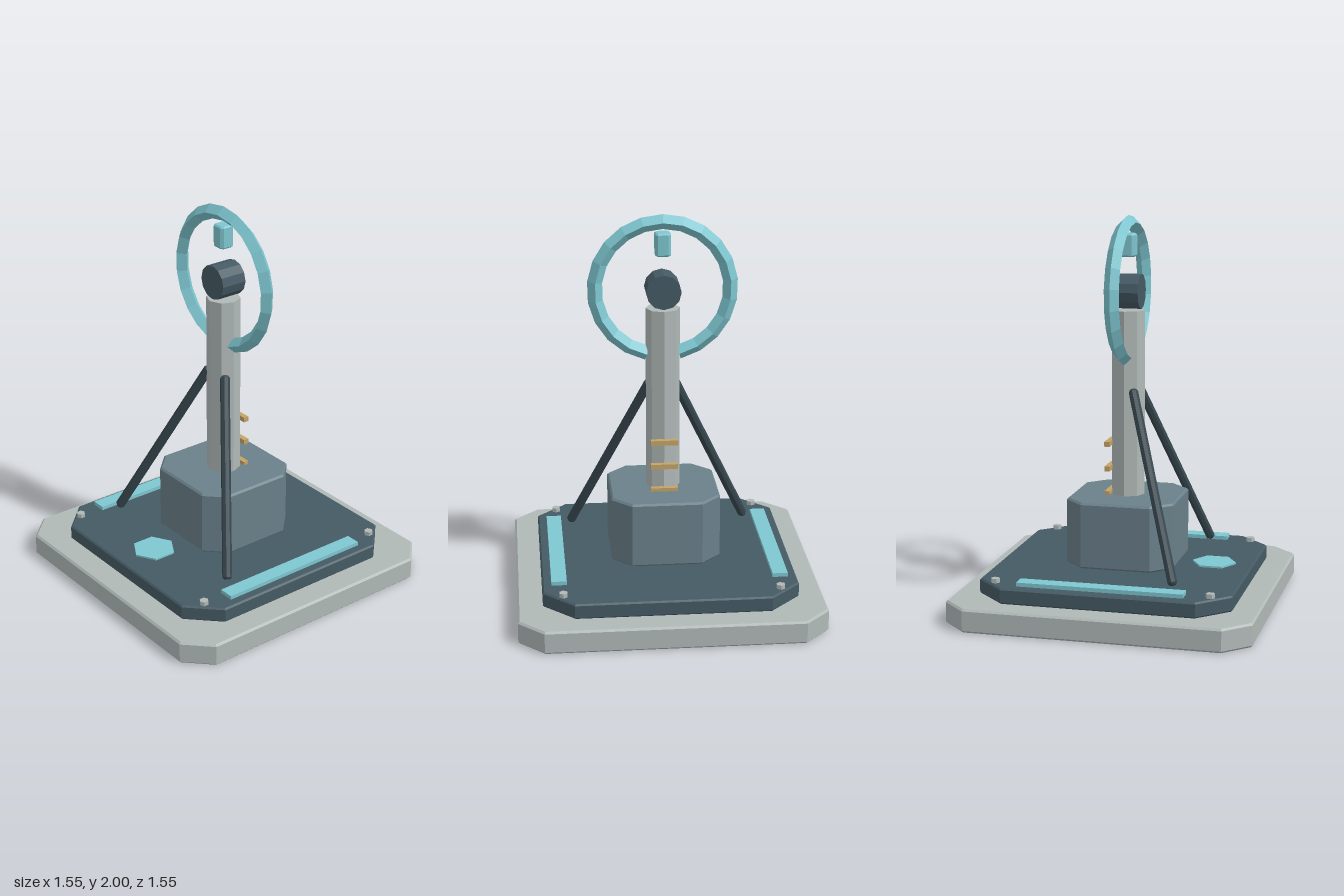
import * as THREE from 'three';

const material = (name, color) =>
  new THREE.MeshStandardMaterial({ name, color, flatShading: true, side: THREE.DoubleSide });

// Square block with cut corners and a small bevel, standing from y0 to y1
function chamferedBlock(half, cut, y0, y1, bevel) {
  const h = half - bevel;
  const c = half - cut - bevel * 0.41;
  const outline = [[h, -c], [h, c], [c, h], [-c, h], [-h, c], [-h, -c], [-c, -h], [c, -h]];
  const geometry = new THREE.ExtrudeGeometry(
    new THREE.Shape(outline.map(([x, y]) => new THREE.Vector2(x, y))),
    { depth: y1 - y0 - 2 * bevel, bevelEnabled: true, bevelSize: bevel, bevelThickness: bevel, bevelSegments: 1 }
  );
  return geometry.rotateX(-Math.PI / 2).translate(0, y0 + bevel, 0);
}

// Round bar with chamfered ends between two points
function bar(from, to, radius, sides) {
  const direction = to.clone().sub(from);
  const l = direction.length() / 2;
  const profile = [[0, -l], [radius * 0.65, -l], [radius, -l + 0.012], [radius, l - 0.012], [radius * 0.65, l], [0, l]];
  const geometry = new THREE.LatheGeometry(profile.map(([x, y]) => new THREE.Vector2(x, y)), sides);
  const turn = new THREE.Quaternion().setFromUnitVectors(new THREE.Vector3(0, 1, 0), direction.normalize());
  const middle = from.clone().add(to).multiplyScalar(0.5);
  return geometry.applyQuaternion(turn).translate(middle.x, middle.y, middle.z);
}

export function createModel() {
  const stone = material('pale stone', 0xb0b9b7);
  const slate = material('dark slate', 0x455a64);
  const iron = material('dark iron', 0x37474f);
  const steel = material('blue steel', 0x6a808a);
  const glow = material('pale teal', 0x7ec6d0);
  const brass = material('brass', 0xc4a468);

  const model = new THREE.Group();
  model.name = 'beaconTower';
  const add = (name, geometry, mat, x = 0, y = 0, z = 0) => {
    const mesh = new THREE.Mesh(geometry, mat);
    mesh.name = name;
    mesh.position.set(x, y, z);
    model.add(mesh);
    return mesh;
  };

  // Stepped base and pedestal
  add('basePlate', chamferedBlock(0.775, 0.128, 0, 0.12, 0.01), stone);
  add('deck', chamferedBlock(0.647, 0.155, 0.12, 0.2, 0.008), slate);
  add('pedestal', chamferedBlock(0.28, 0.1, 0.222, 0.565, 0.01), steel);

  // Column and the pivot on top of it
  add('column', new THREE.CylinderGeometry(0.087, 0.087, 0.96, 8), stone, 0, 1.04, 0);
  add('pivotHead', new THREE.CylinderGeometry(0.089, 0.089, 0.14, 12).rotateX(Math.PI / 2), slate, 0, 1.615, 0);

  // Open ring with a diamond section and its gap at the bottom
  const arc = 5.8;
  const ring = new THREE.TorusGeometry(0.344, 0.038, 4, 20, arc);
  add('ring', ring.rotateZ(Math.PI / 2 - arc / 2), glow, 0, 1.618, 0);

  // Floating crystal inside the ring
  add('crystal', chamferedBlock(0.04, 0.014, 1.79, 1.908, 0.008), glow);

  // Deck lights
  add('frontPad', new THREE.CylinderGeometry(0.113, 0.113, 0.009, 6), glow, 0, 0.225, 0.457);

  for (const side of [-1, 1]) {
    const label = side > 0 ? 'left' : 'right';
    add(label + 'LightStrip', new THREE.BoxGeometry(0.078, 0.02, 0.845), glow, side * 0.562, 0.213, 0);

    // Slanting brace from the column to the deck
    const top = new THREE.Vector3(side * 0.063, 1.12, 0.04);
    const foot = new THREE.Vector3(side * 0.473, 0.228, 0.345);
    add(label + 'Brace', bar(foot, top, 0.025, 8), iron);

    // Deck bolts
    for (const end of [-1, 1]) {
      add(label + (end > 0 ? 'Front' : 'Back') + 'Bolt',
        new THREE.CylinderGeometry(0.023, 0.023, 0.022, 6), stone, side * 0.545, 0.211, end * 0.547);
    }
  }

  // Ladder rungs on the back of the column
  for (let i = 0; i < 3; i++) {
    add('rung' + (i + 1), new THREE.BoxGeometry(0.14, 0.026, 0.028), brass, 0, 0.57 + i * 0.13, -0.096);
  }

  return model;
}
